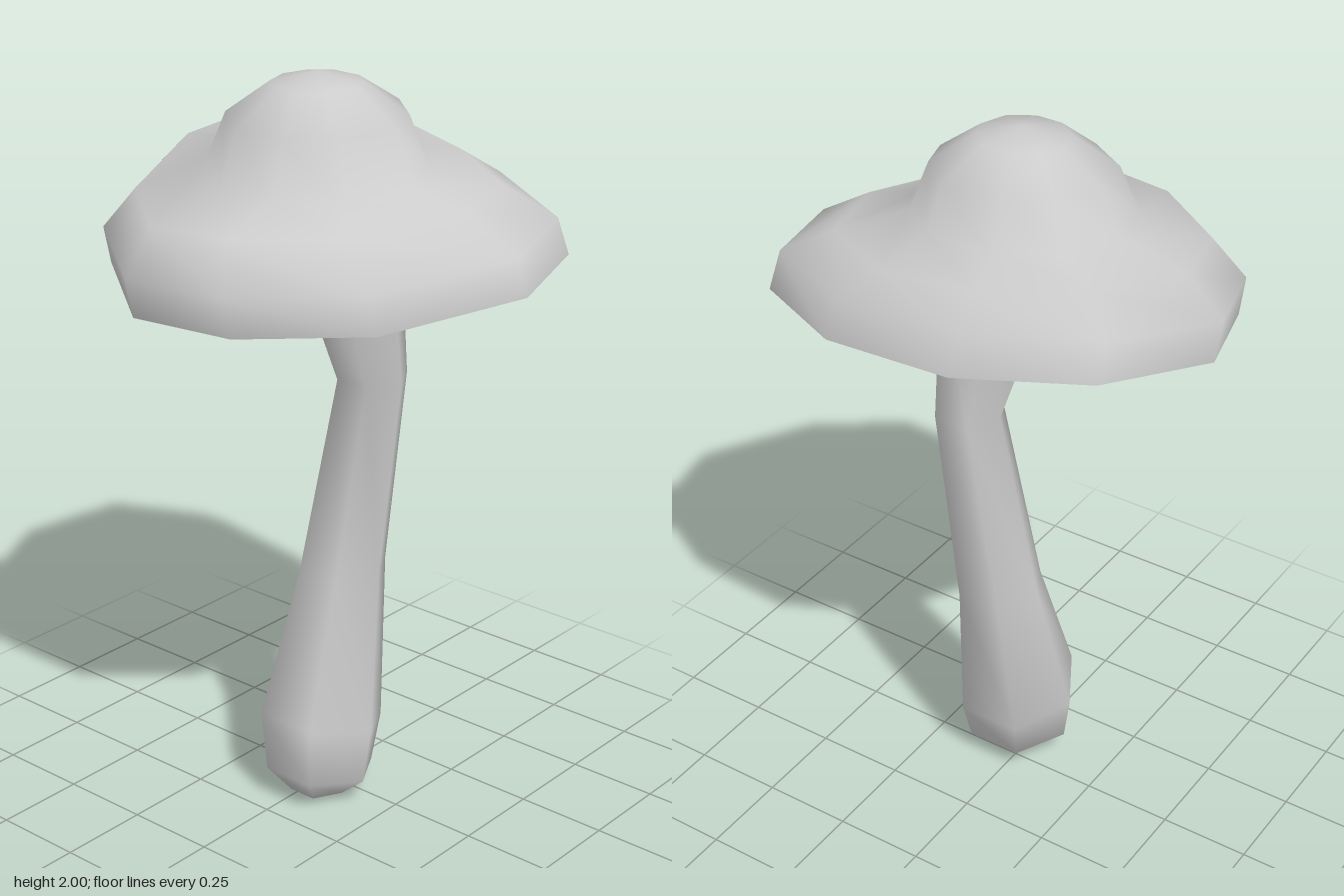
import * as THREE from 'three';

const grey = new THREE.MeshStandardMaterial({ color: 0xcccccc });

// Smooth skin over rings listed from bottom to top; a one-point ring closes an end.
function loft(name, rings) {
  const starts = [], pos = [], index = [];
  for (const ring of rings) {
    starts.push(pos.length / 3);
    for (const p of ring) pos.push(...p);
  }
  const sides = Math.max(...rings.map((r) => r.length));
  const at = (i, j) => starts[i] + (j % rings[i].length);
  for (let i = 0; i < rings.length - 1; i++) {
    for (let j = 0; j < sides; j++) {
      const a = at(i, j), b = at(i, j + 1), c = at(i + 1, j), d = at(i + 1, j + 1);
      if (c !== d) index.push(a, c, d);
      if (a !== b) index.push(a, d, b);
    }
  }
  const geo = new THREE.BufferGeometry();
  geo.setAttribute('position', new THREE.Float32BufferAttribute(pos, 3));
  geo.setIndex(index);
  geo.computeVertexNormals();
  const mesh = new THREE.Mesh(geo, grey);
  mesh.name = name;
  return mesh;
}

export function createModel() {
  const group = new THREE.Group();
  group.name = 'mushroom';

  // Uneven, tilted ten-sided rim of the cap: x, y, z
  const rim = [
    [0.05, 1.57, -0.595], [0.395, 1.65, -0.48], [0.54, 1.64, -0.17], [0.49, 1.585, 0.22],
    [0.33, 1.55, 0.52], [0.05, 1.52, 0.595], [-0.32, 1.48, 0.43], [-0.535, 1.47, 0.16],
    [-0.53, 1.45, -0.17], [-0.31, 1.48, -0.47],
  ];
  // Brim rings follow the rim, shrunk, shifted and lifted (more on the low side)
  const brim = (scaleX, scaleZ, shiftX, shiftZ, lift, lean) => rim.map(([x, y, z]) =>
    [x * scaleX + shiftX, y + lift - lean * x, z * scaleZ + shiftZ]);
  // Dome rings are nearly round and keep the directions of the rim corners
  const dome = (r, y, tiltX, tiltZ) => rim.map(([x, , z]) => {
    const l = Math.hypot(x, z), dx = (x / l) * r, dz = (z / l) * r * 1.05;
    return [dx - 0.025, y + tiltX * dx + tiltZ * dz, dz - 0.01];
  });
  group.add(loft('cap', [
    rim,
    brim(0.98, 0.99, -0.025, -0.01, 0.1, 0),
    brim(0.83, 0.78, -0.03, -0.03, 0.19, 0.055),
    dome(0.275, 1.765, 0.1, -0.06), dome(0.225, 1.895, 0.08, -0.03),
    dome(0.115, 1.975, 0.04, 0), [[-0.02, 2, -0.01]],
  ]));
  // Shallow hollow under the cap
  group.add(loft('capUnderside', [[[0, 1.62, 0]], rim]));

  // Bent six-sided stem with corners at front and back: height, x range, z range, sideways tilt
  const stem = [
    [0.02, -0.15, 0, -0.04, 0.12, 0],
    [0.08, -0.2, 0.06, -0.12, 0.19, -0.1],
    [0.225, -0.2, 0.1, -0.15, 0.2, -0.2],
    [0.645, -0.06, 0.15, -0.105, 0.145, 0],
    [1.2, -0.02, 0.147, 0.005, 0.2, 0],
    [1.66, -0.135, 0.147, -0.13, 0.205, 0],
  ].map(([y, x0, x1, z0, z1, tilt]) => Array.from({ length: 6 }, (_, j) => {
    const t = (j / 6) * Math.PI * 2;
    const dx = Math.sin(t) / Math.sin(Math.PI / 3) * (x1 - x0) / 2;
    return [(x0 + x1) / 2 + dx, y + tilt * dx, (z0 + z1) / 2 - Math.cos(t) * (z1 - z0) / 2];
  }));
  group.add(loft('stem', [[[-0.075, 0, 0.04]], ...stem]));

  return group;
}
